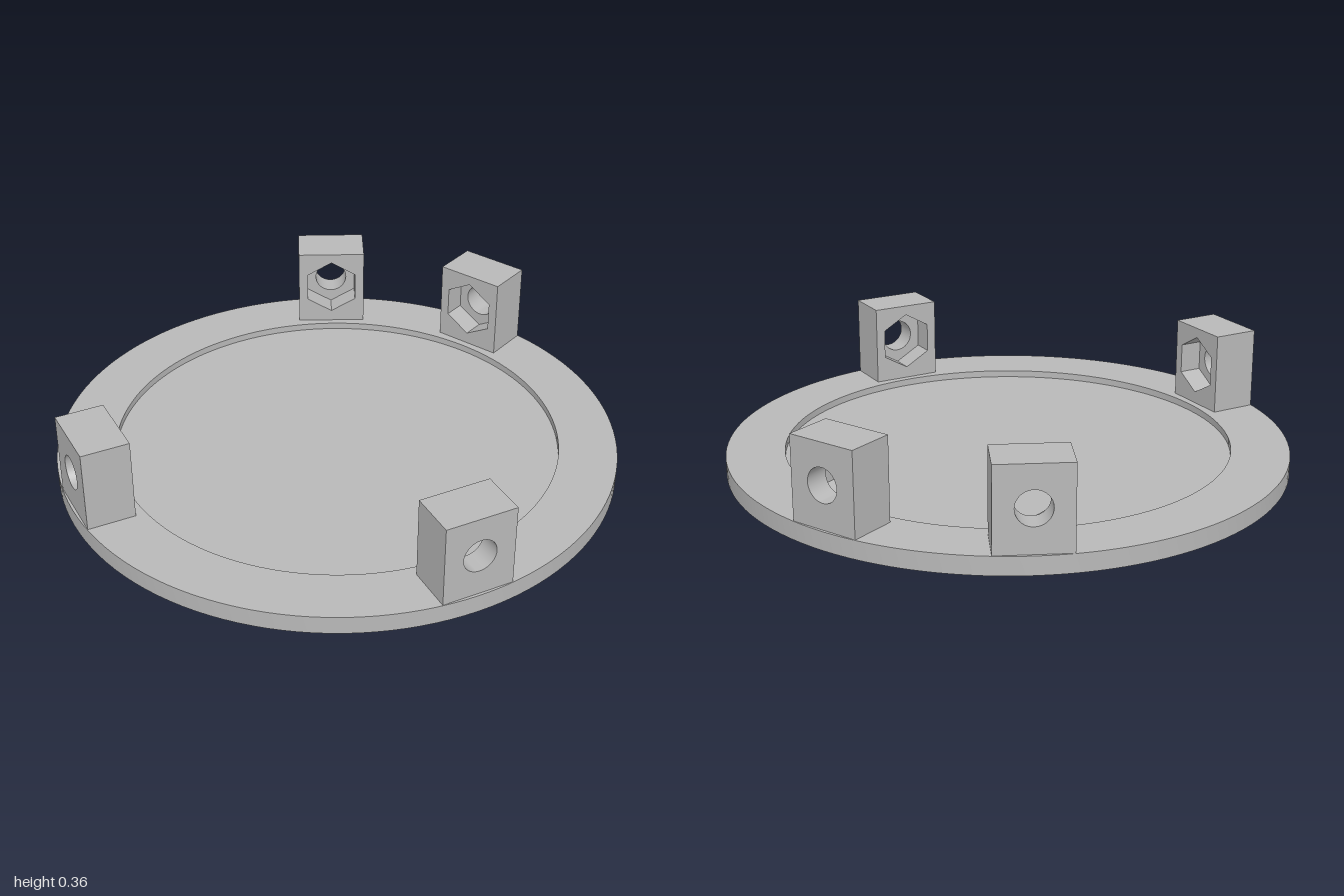
import * as THREE from 'three';
import { toCreasedNormals } from 'three/addons/utils/BufferGeometryUtils.js';

const RIM_TOP = 0.065, RECESS_FLOOR = 0.04, RECESS_RADIUS = 0.793;
const BLOCK_WIDTH = 0.256, BLOCK_TOP = 0.36, BLOCK_BOTTOM = 0.055;
const INNER = 0.82, MIDDLE = 0.905, OUTER = 0.99; // distances from the centre
const HOLE_Y = 0.216;

// Closed ring path around the bolt axis, starting at its highest point
function holePath(radius, sides) {
  const points = [];
  for (let i = 0; i < sides; i++) {
    const a = Math.PI / 2 - (i / sides) * Math.PI * 2;
    points.push(new THREE.Vector2(radius * Math.cos(a), HOLE_Y + radius * Math.sin(a)));
  }
  return new THREE.Path(points);
}

// Rectangular slab pierced by one hole, spanning from z = near to z = far
function piercedSlab(radius, sides, near, far) {
  const w = BLOCK_WIDTH / 2;
  const shape = new THREE.Shape([
    new THREE.Vector2(-w, BLOCK_BOTTOM),
    new THREE.Vector2(w, BLOCK_BOTTOM),
    new THREE.Vector2(w, BLOCK_TOP),
    new THREE.Vector2(-w, BLOCK_TOP),
  ]);
  shape.holes.push(holePath(radius, sides));
  const geometry = new THREE.ExtrudeGeometry(shape, { depth: far - near, bevelEnabled: false });
  geometry.translate(0, 0, near);
  return toCreasedNormals(geometry, 0.5);
}

export function createModel() {
  const group = new THREE.Group();
  const grey = new THREE.MeshStandardMaterial({ color: 0xb8b8b8 });
  grey.name = 'grey';

  // Round plate with a shallow recess
  const profile = [
    [0, 0], [1, 0], [1, RIM_TOP],
    [RECESS_RADIUS, RIM_TOP], [RECESS_RADIUS, RECESS_FLOOR], [0, RECESS_FLOOR],
  ].map(([x, y]) => new THREE.Vector2(x, y));
  const plate = new THREE.Mesh(toCreasedNormals(new THREE.LatheGeometry(profile, 128), 0.5), grey);
  plate.name = 'basePlate';
  group.add(plate);

  // Mounting blocks: hexagonal nut pocket inside, round bolt hole outside
  const pocketGeometry = piercedSlab(0.108, 6, INNER, MIDDLE);
  const boltGeometry = piercedSlab(0.06, 40, MIDDLE, OUTER);
  const blocks = [
    ['frontLeftBlock', 45], ['frontRightBlock', -45],
    ['backLeftBlock', 160], ['backRightBlock', -160],
  ];
  for (const [name, degrees] of blocks) {
    const block = new THREE.Group();
    block.name = name;
    const pocket = new THREE.Mesh(pocketGeometry, grey);
    pocket.name = 'nutPocketHalf';
    const bolt = new THREE.Mesh(boltGeometry, grey);
    bolt.name = 'boltHoleHalf';
    block.add(pocket, bolt);
    block.rotation.y = THREE.MathUtils.degToRad(degrees);
    group.add(block);
  }
  return group;
}
